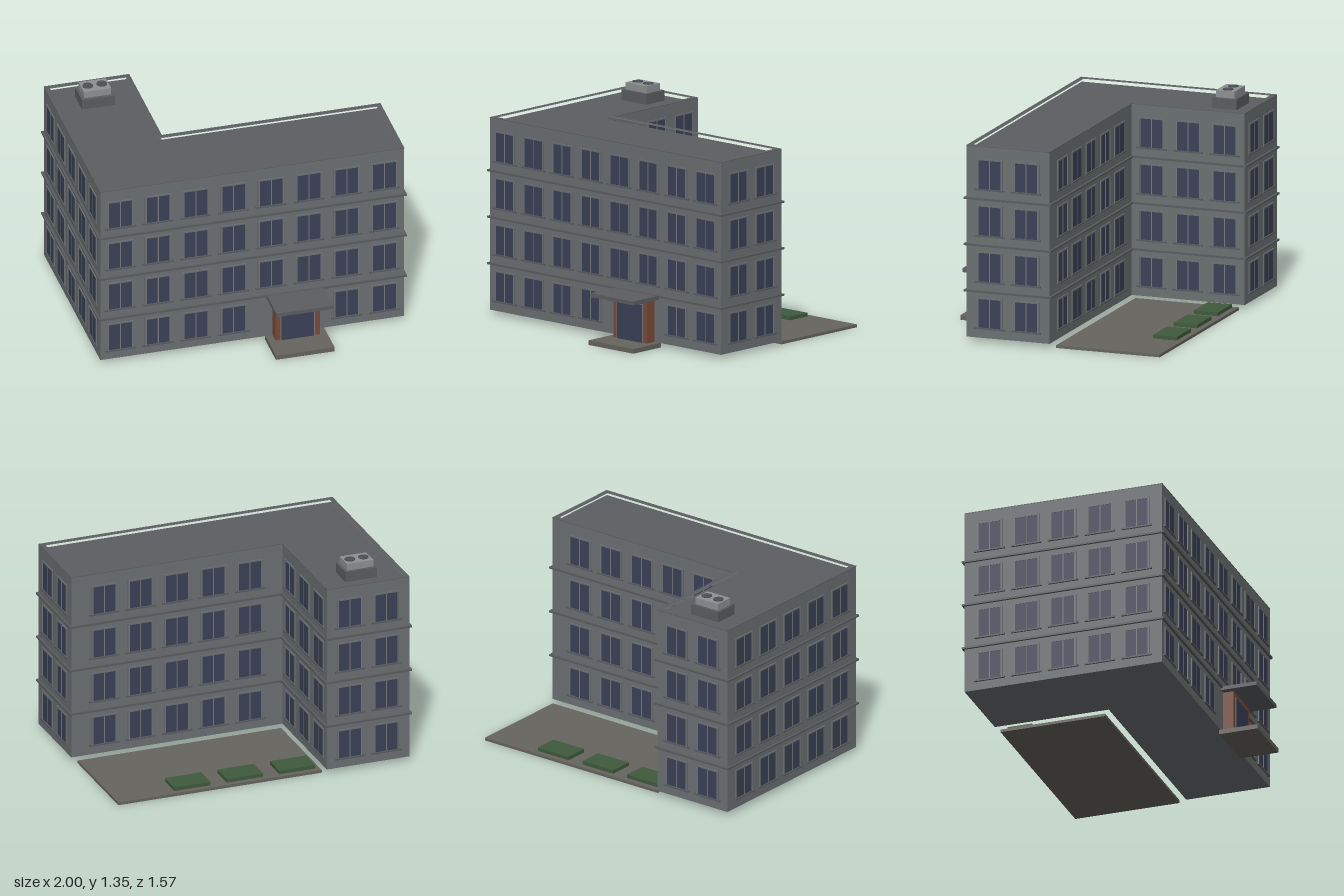
import * as THREE from 'three';

const mat = (color) => new THREE.MeshStandardMaterial({ color });
const M = {
  wall: mat(0x6b7072), trim: mat(0x5a5d60), frame: mat(0x777b7e), glass: mat(0x3a4156), roof: mat(0x5c5e62),
  brick: mat(0x7a4a3a), paving: mat(0x67645e), hedge: mat(0x3f5a3d), metal: mat(0x8e9194), dark: mat(0x4b4f54),
};

// Footprint limits of the L-shaped block
const X = 0.985, Z_FRONT = 0.54, Z_BACK = -0.772, X_IN = -0.432, Z_IN = -0.015;
const BASE = 0.03, ROOF = 1.232, TOP = 1.26, FLOOR = 0.297, PITCH = 0.2445;

// Box given by its limits on each axis
function box(name, m, x0, x1, y0, y1, z0, z1) {
  const mesh = new THREE.Mesh(new THREE.BoxGeometry(x1 - x0, y1 - y0, z1 - z0), m);
  mesh.position.set((x0 + x1) / 2, (y0 + y1) / 2, (z0 + z1) / 2);
  mesh.name = name;
  return mesh;
}

// L outline grown (or shrunk) by d; shape y is -z
const outline = (d) => [
  [-X - d, Z_BACK - d], [X_IN + d, Z_BACK - d], [X_IN + d, Z_IN - d],
  [X + d, Z_IN - d], [X + d, Z_FRONT + d], [-X - d, Z_FRONT + d],
].map(([x, z]) => new THREE.Vector2(x, -z));

function slab(name, m, d, y0, y1, holeD) {
  const shape = new THREE.Shape(outline(d));
  if (holeD !== undefined) shape.holes.push(new THREE.Path(outline(holeD)));
  const geo = new THREE.ExtrudeGeometry(shape, { depth: y1 - y0, bevelEnabled: false });
  geo.rotateX(-Math.PI / 2).translate(0, y0, 0);
  const mesh = new THREE.Mesh(geo, m);
  mesh.name = name;
  return mesh;
}

// One window facing +z, centred on its glass
function makeWindow() {
  const g = new THREE.Group();
  g.name = 'window';
  const w = 0.078, h = 0.092, t = 0.009;
  g.add(box('glass', M.glass, -w, w, -h, h, -0.004, 0.004));
  for (const s of [-1, 1]) {
    const jamb = box('jamb', M.wall, -t / 2, t / 2, -h - t, h + t, -0.004, 0.007);
    jamb.position.x = s * (w + t / 2);
    const rail = box('rail', M.wall, -w, w, -t / 2, t / 2, -0.004, 0.007);
    rail.position.y = s * (h + t / 2);
    const sash = box('sash', M.frame, -0.002, 0.002, -h, h, 0, 0.006);
    sash.position.x = s * (w - 0.002);
    g.add(jamb, rail, sash);
  }
  g.add(box('mullion', M.frame, -0.003, 0.003, -h, h, 0, 0.006));
  g.add(box('sill', M.trim, -0.1, 0.1, -h - 0.009, -h + 0.001, -0.004, 0.012));
  return g;
}

export function createModel() {
  const model = new THREE.Group();
  model.name = 'officeBlock';

  // Walls, sunken roof and parapet
  model.add(slab('walls', M.wall, 0, BASE, ROOF - 0.006));
  model.add(slab('roofDeck', M.roof, -0.01, ROOF - 0.006, ROOF));
  model.add(slab('parapet', M.wall, 0, ROOF - 0.006, TOP - 0.004, -0.03));
  model.add(slab('coping', M.roof, 0.001, TOP - 0.004, TOP, -0.031));

  // String courses between floors
  for (let f = 1; f < 4; f++) {
    const y = BASE + f * FLOOR;
    model.add(slab('stringCourse', M.trim, 0.014, y - 0.006, y + 0.006));
  }

  // Windows: centre of each wall, facing angle, count, and ground-floor gaps
  const H = Math.PI / 2;
  const walls = [
    { name: 'frontWindows', x: 0, z: Z_FRONT, turn: 0, n: 8, gaps: [4, 5] },
    { name: 'leftEndWindows', x: X, z: (Z_IN + Z_FRONT) / 2, turn: H, n: 2 },
    { name: 'courtyardBackWindows', x: (X_IN + X) / 2, z: Z_IN, turn: Math.PI, n: 5 },
    { name: 'courtyardSideWindows', x: X_IN, z: (Z_BACK + Z_IN) / 2, turn: H, n: 3 },
    { name: 'wingBackWindows', x: (X_IN - X) / 2, z: Z_BACK, turn: Math.PI, n: 2 },
    { name: 'rightSideWindows', x: -X, z: (Z_BACK + Z_FRONT) / 2, turn: -H, n: 5 },
  ];
  const proto = makeWindow();
  for (const { name, x, z, turn, n, gaps = [] } of walls) {
    const side = new THREE.Group();
    side.name = name;
    side.position.set(x, 0, z);
    side.rotation.y = turn;
    for (let f = 0; f < 4; f++) {
      for (let i = 0; i < n; i++) {
        if (f === 0 && gaps.includes(i)) continue;
        const win = proto.clone();
        win.position.set((i - (n - 1) / 2) * PITCH, 0.187 + f * FLOOR, 0);
        side.add(win);
      }
    }
    model.add(side);
  }

  // Entrance: step, brick porch, glazed door and canopy
  const entrance = new THREE.Group();
  entrance.name = 'entrance';
  entrance.add(
    box('step', M.paving, 0.085, 0.465, 0, 0.03, 0.53, 0.785),
    box('porch', M.brick, 0.132, 0.418, 0.029, 0.305, 0.53, 0.61),
    box('doorFrame', M.frame, 0.164, 0.386, 0.03, 0.277, 0.6, 0.613),
    box('door', M.glass, 0.17, 0.38, 0.03, 0.271, 0.6, 0.616),
    box('canopy', M.roof, 0.092, 0.456, 0.305, 0.33, 0.53, 0.775),
  );
  model.add(entrance);

  // Rooftop air unit with two fans
  const unit = new THREE.Group();
  unit.name = 'airUnit';
  unit.add(box('unitBase', M.trim, -0.817, -0.605, ROOF, 1.3, -0.65, -0.485));
  unit.add(box('unitBody', M.metal, -0.8, -0.623, 1.3, 1.345, -0.63, -0.505));
  for (const x of [-0.757, -0.666]) {
    const fan = new THREE.Mesh(new THREE.CylinderGeometry(0.033, 0.033, 0.012, 24), M.dark);
    fan.name = 'fan';
    fan.position.set(x, 1.344, -0.57);
    unit.add(fan);
  }
  model.add(unit);

  // Courtyard paving and hedges
  model.add(box('courtyard', M.paving, -0.41, 0.955, 0, 0.018, -0.742, -0.048));
  for (let i = 0; i < 3; i++) {
    const x = -0.382 + i * 0.352;
    model.add(box('hedge', M.hedge, x, x + 0.243, 0.018, 0.041, -0.705, -0.545));
  }
  return model;
}
